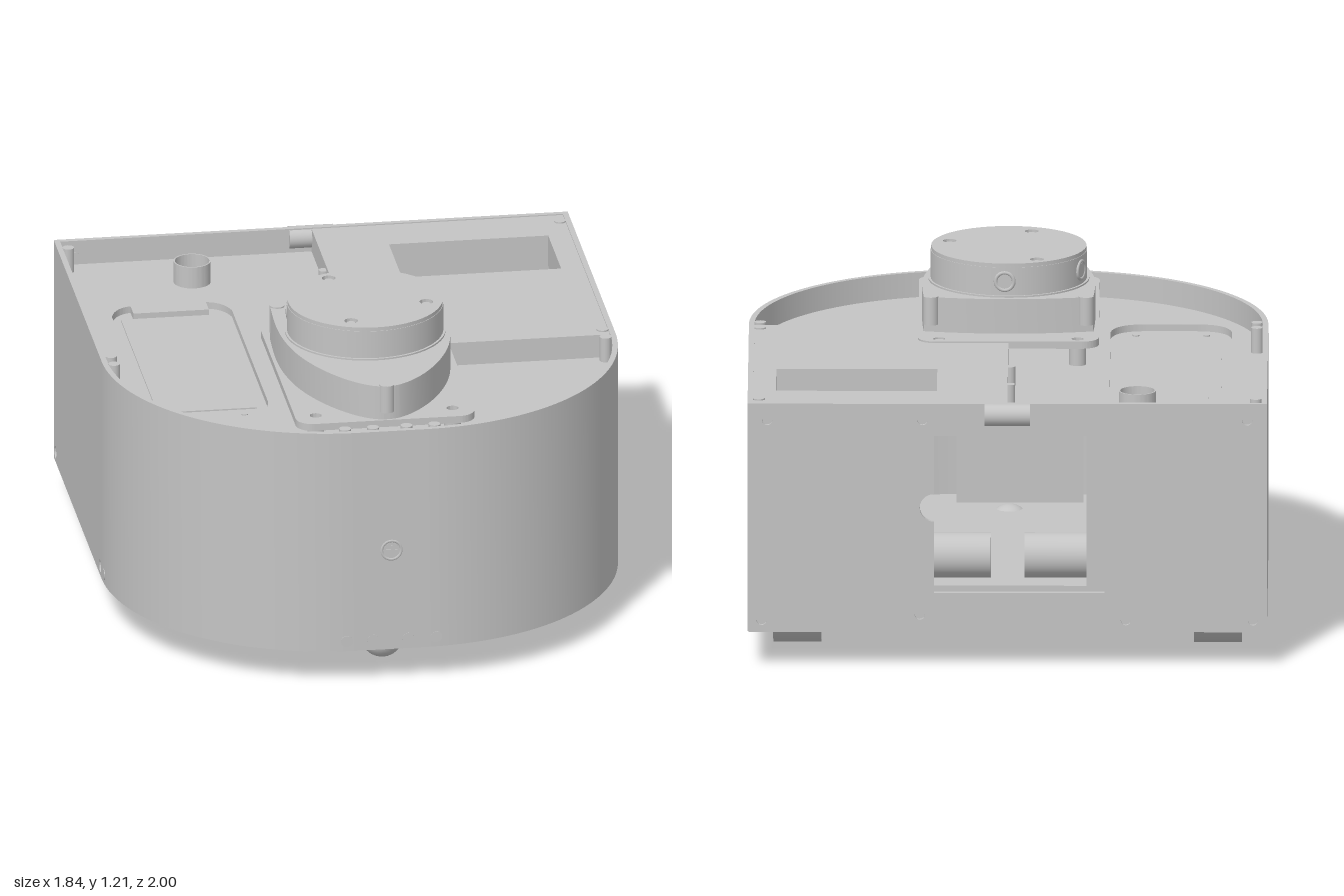
import * as THREE from 'three';
import { toCreasedNormals } from 'three/addons/utils/BufferGeometryUtils.js';

export function createModel() {
  const model = new THREE.Group();
  const grey = new THREE.MeshStandardMaterial({ color: 0xc4c4c4 });
  grey.name = 'plain grey';

  const add = (name, geo, x = 0, y = 0, z = 0) => {
    const m = new THREE.Mesh(geo, grey);
    m.name = name;
    m.position.set(x, y, z);
    model.add(m);
    return m;
  };
  const box = (name, x0, x1, y0, y1, z0, z1) =>
    add(name, new THREE.BoxGeometry(x1 - x0, y1 - y0, z1 - z0), (x0 + x1) / 2, (y0 + y1) / 2, (z0 + z1) / 2);
  const extrude = (shape, depth) => toCreasedNormals(
    new THREE.ExtrudeGeometry(shape, { depth, bevelEnabled: false, curveSegments: 32 }), 0.4);
  // horizontal plate drawn in x, z with its top at y
  const plate = (name, shape, top, depth) => add(name, extrude(shape, depth).rotateX(Math.PI / 2), 0, top, 0);
  const cyl = (name, r, y0, y1, x, z, seg = 24) =>
    add(name, new THREE.CylinderGeometry(r, r, y1 - y0, seg), x, (y0 + y1) / 2, z);
  const rect = (a, b, c, d, P = THREE.Path) => new P([[a, c], [b, c], [b, d], [a, d]].map(p => new THREE.Vector2(...p)));
  const circle = (x, y, r) => new THREE.Path().absarc(x, y, r, 0, Math.PI * 2);
  const rounded = (a, b, c, d, r) => {
    const s = new THREE.Shape();
    s.absarc(b - r, d - r, r, 0, Math.PI / 2);
    s.absarc(a + r, d - r, r, Math.PI / 2, Math.PI);
    s.absarc(a + r, c + r, r, Math.PI, Math.PI * 1.5);
    s.absarc(b - r, c + r, r, Math.PI * 1.5, Math.PI * 2);
    s.closePath();
    return s;
  };

  // body: straight sides, two large front corner arcs and a short flat nose
  const W = 0.92, T = 0.02, Y0 = 0.13, Y1 = 0.96, BACK = -0.96, ARC = 0.2, FLAT = 0.12, R = 0.8, FLOOR = 0.87;
  const outline = i => {
    const s = new THREE.Shape();
    s.moveTo(-W + i, BACK + i);
    s.lineTo(W - i, BACK + i);
    s.lineTo(W - i, ARC);
    s.absarc(FLAT, ARC, R - i, 0, Math.PI / 2);
    s.absarc(-FLAT, ARC, R - i, Math.PI / 2, Math.PI);
    s.closePath();
    return s;
  };

  // curved front wall
  const front = new THREE.Shape();
  front.absarc(FLAT, ARC, R, 0, Math.PI / 2);
  front.absarc(-FLAT, ARC, R, Math.PI / 2, Math.PI);
  front.absarc(-FLAT, ARC, R - T, Math.PI, Math.PI / 2, true);
  front.absarc(FLAT, ARC, R - T, Math.PI / 2, 0, true);
  front.closePath();
  plate('frontWall', front, Y1, Y1 - Y0);

  // screw head facing along (nx, nz)
  const screw = (x, y, z, nx, nz, r = 0.021) => {
    const m = add('wallScrew', new THREE.CylinderGeometry(r, r, 0.012, 16).rotateX(Math.PI / 2), x, y, z);
    m.rotation.y = Math.atan2(nx, nz);
  };

  // side walls, drawn in -z, y, with sunken screws; ports only in the wall at +x
  const ports = [[-0.04, 0.08, 0.735, 0.785], [-0.055, 0.125, 0.49, 0.615], [-0.045, 0.09, 0.25, 0.375]];
  const lowScrews = [[0.165, 0.165], [-0.92, 0.165]];
  const portScrews = [[0.08, 0.76], [-0.13, 0.76], [0.09, 0.555], [-0.165, 0.555], [0.085, 0.31], [-0.135, 0.31]];
  for (const s of [-1, 1]) {
    const wall = rect(-ARC, -BACK, Y0, Y1, THREE.Shape);
    const screws = s > 0 ? [...lowScrews, ...portScrews] : lowScrews;
    screws.forEach(([z, y]) => {
      wall.holes.push(circle(-z, y, 0.022));
      screw(s * (W - 0.018), y, z, s, 0, 0.022);
    });
    if (s > 0) ports.forEach(p => wall.holes.push(rect(...p)));
    add('sideWall', extrude(wall, T).rotateY(Math.PI / 2), s > 0 ? W - T : -W);
    screw(s * (W - 0.006), 0.165, 0.245, s, 0);
  }
  ports.forEach(([a, b, c, d]) => box('portSocket', W - 0.07, W - 0.05, c - 0.01, d + 0.01, -b - 0.01, -a + 0.01));

  // back wall with door opening, finger notch and sunken screws
  const back = rect(-W + T, W - T, Y0, Y1, THREE.Shape);
  const door = new THREE.Path();
  door.moveTo(-0.345, 0.27);
  door.lineTo(0.26, 0.27);
  door.lineTo(0.26, 0.53);
  door.absarc(0.26, 0.58, 0.05, -Math.PI / 2, Math.PI / 2);
  door.lineTo(0.26, 0.865);
  door.lineTo(-0.345, 0.865);
  back.holes.push(door);
  [[0.85, 0.9], [-0.85, 0.9], [0.87, 0.17], [-0.87, 0.17], [0.31, 0.19], [-0.42, 0.17], [0.3, 0.9]].forEach(([x, y]) => {
    back.holes.push(circle(x, y, 0.018));
    screw(x, y, BACK + 0.018, 0, -1, 0.018);
  });
  add('backWall', extrude(back, T), 0, 0, BACK);
  box('doorRail', -0.345, -0.28, 0.27, 0.865, BACK + 0.025, BACK + 0.04);
  box('doorSill', -0.345, 0.26, 0.25, 0.29, BACK + 0.025, BACK + 0.05);
  add('doorHinge', new THREE.CylinderGeometry(0.04, 0.04, 0.16, 24).rotateZ(Math.PI / 2), 0, 0.92, BACK);

  // bottom plate with wheel openings
  const bottom = outline(0.004);
  for (const s of [-1, 1]) bottom.holes.push(rect(s * 0.63, s * 0.86, -0.81, -0.32));
  plate('bottomPlate', bottom, Y0 + 0.016, 0.02);

  // recessed deck with shallow handle pocket
  const deck = outline(0.01);
  const hatch = [0.25, 0.82, -0.755, -0.44];
  const pocket = new THREE.Path();
  pocket.moveTo(-0.71, -0.52);
  pocket.quadraticCurveTo(-0.77, -0.51, -0.79, -0.43);
  pocket.lineTo(-0.79, 0.44);
  pocket.quadraticCurveTo(-0.78, 0.56, -0.66, 0.56);
  pocket.lineTo(-0.49, 0.56);
  pocket.quadraticCurveTo(-0.37, 0.56, -0.36, 0.44);
  pocket.lineTo(-0.36, -0.43);
  pocket.quadraticCurveTo(-0.38, -0.51, -0.44, -0.52);
  pocket.lineTo(-0.44, -0.45);
  pocket.lineTo(-0.71, -0.45);
  deck.holes.push(pocket, rect(...hatch));
  plate('deck', deck, FLOOR, 0.03);
  box('pocketFloor', -0.8, -0.35, 0.832, 0.845, -0.53, 0.57);
  box('pocketPad', -0.755, -0.4, 0.84, 0.85, -0.449, 0.44);
  for (const x of [-0.7, -0.45]) cyl('pocketScrew', 0.012, 0.84, 0.85, x, 0.49, 12);

  // raised corner panel with hatch
  const panel = rect(0, W - T, BACK + T, 0.2, THREE.Shape);
  panel.holes.push(rect(...hatch));
  plate('raisedPanel', panel, 0.956, 0.956 - FLOOR);
  for (const z of [-0.59, -0.33]) cyl('panelPost', 0.018, FLOOR, 0.94, -0.008, z, 12);

  // open tube on the deck
  const tube = new THREE.Shape().absarc(-0.46, -0.72, 0.066, 0, Math.PI * 2);
  tube.holes.push(circle(-0.46, -0.72, 0.061));
  plate('deckTube', tube, 0.95, 0.09);

  // screw posts along the rim
  const posts = [[-0.88, -0.88], [0.88, -0.88], [-0.88, 0.155], [0.88, 0.155], [-0.88, 0.23], [0.88, 0.23],
    [-0.16, 0.955], [-0.06, 0.955], [0.06, 0.955], [0.16, 0.955]];
  posts.forEach(([x, z]) => cyl('rimPost', 0.021, FLOOR, Y1 + 0.001, x, z, 16));

  // screws along the foot of the nose
  for (const x of [-0.16, -0.065, 0.06, 0.16]) screw(x, 0.165, 0.995, 0, 1);

  // front button with cross
  add('frontButtonRim', new THREE.TorusGeometry(0.035, 0.006, 8, 32), 0, 0.505, 0.997);
  screw(0, 0.505, 0.995, 0, 1, 0.026);
  box('buttonCross', -0.02, 0.02, 0.502, 0.508, 0.998, 1.004);
  box('buttonCross', -0.003, 0.003, 0.485, 0.525, 0.998, 1.004);

  // scanner mount plate on standoffs, with open screw holes
  const mount = rounded(-0.32, 0.32, -0.06, 0.9, 0.06);
  [[-0.245, -0.02], [0.245, -0.02], [-0.245, 0.82], [0.245, 0.82]].forEach(([x, z]) => {
    mount.holes.push(circle(x, z, 0.021));
    cyl('plateStandoff', 0.03, FLOOR, 0.94, x, z, 16);
  });
  plate('scannerPlate', mount, 0.962, 0.026);

  // teardrop scanner base
  const drop = new THREE.Shape();
  drop.moveTo(-0.3, 0.09);
  drop.quadraticCurveTo(0, 0.02, 0.3, 0.09);
  drop.bezierCurveTo(0.31, 0.25, 0.31, 0.36, 0.29, 0.46);
  drop.bezierCurveTo(0.26, 0.65, 0.14, 0.84, 0.04, 0.885);
  drop.quadraticCurveTo(0, 0.9, -0.04, 0.885);
  drop.bezierCurveTo(-0.14, 0.84, -0.26, 0.65, -0.29, 0.46);
  drop.bezierCurveTo(-0.31, 0.36, -0.31, 0.25, -0.3, 0.09);
  plate('scannerBase', drop, 1.088, 0.127);
  [[-0.275, 0.085], [0.275, 0.085], [0, 0.88]].forEach(([x, z]) => cyl('basePost', 0.027, 0.99, 1.092, x, z, 20));

  // scanner head with sunken screws and two lenses
  cyl('scannerNeck', 0.285, 1.08, 1.094, 0, 0.36, 64);
  cyl('scannerHead', 0.277, 1.09, 1.196, 0, 0.36, 64);
  const cap = new THREE.Shape().absarc(0, 0.36, 0.275, 0, Math.PI * 2);
  [[-0.1, 0.15], [0.21, 0.42], [-0.08, 0.56]].forEach(([x, z]) => {
    cap.holes.push(circle(x, z, 0.024));
    cyl('headScrew', 0.015, 1.19, 1.203, x, z, 16);
  });
  plate('scannerCap', cap, 1.21, 0.016);
  for (const [nx, nz] of [[0.05, -1], [-0.93, -0.38]]) {
    const lens = add('lensRim', new THREE.TorusGeometry(0.032, 0.007, 8, 28), nx * 0.274, 1.145, 0.36 + nz * 0.274);
    lens.rotation.y = Math.atan2(nx, nz);
    screw(nx * 0.272, 1.145, 0.36 + nz * 0.272, nx, nz, 0.026);
  }

  // drive wheels, gearboxes and motors
  const axle = (name, r, x0, x1, y, s) =>
    add(name, new THREE.CylinderGeometry(r, r, x1 - x0, 48).rotateZ(Math.PI / 2), s * (x0 + x1) / 2, y, -0.565);
  for (const s of [-1, 1]) {
    axle('wheel', 0.251, 0.66, 0.83, 0.251, s);
    axle('wheelHub', 0.08, 0.64, 0.85, 0.251, s);
    axle('gearbox', 0.16, 0.4, 0.66, 0.31, s);
    axle('motor', 0.08, 0.06, 0.4, 0.31, s);
  }
  box('innerBoard', -0.27, 0.18, 0.56, 0.84, -0.8, -0.78);

  // front caster
  const caster = new THREE.Shape([[-0.2, 0.13], [-0.18, 0.09], [0.18, 0.09], [0.2, 0.13]].map(p => new THREE.Vector2(...p)));
  add('casterPlate', extrude(caster, 0.22), 0, 0, 0.655);
  add('casterBall', new THREE.SphereGeometry(0.076, 32, 20), 0, 0.086, 0.765);

  // mounting screws under the body
  for (const x of [0.38, 0.71]) for (const z of [0.1, 0.555]) cyl('bottomScrew', 0.02, 0.122, 0.135, x, z, 16);

  return model;
}
